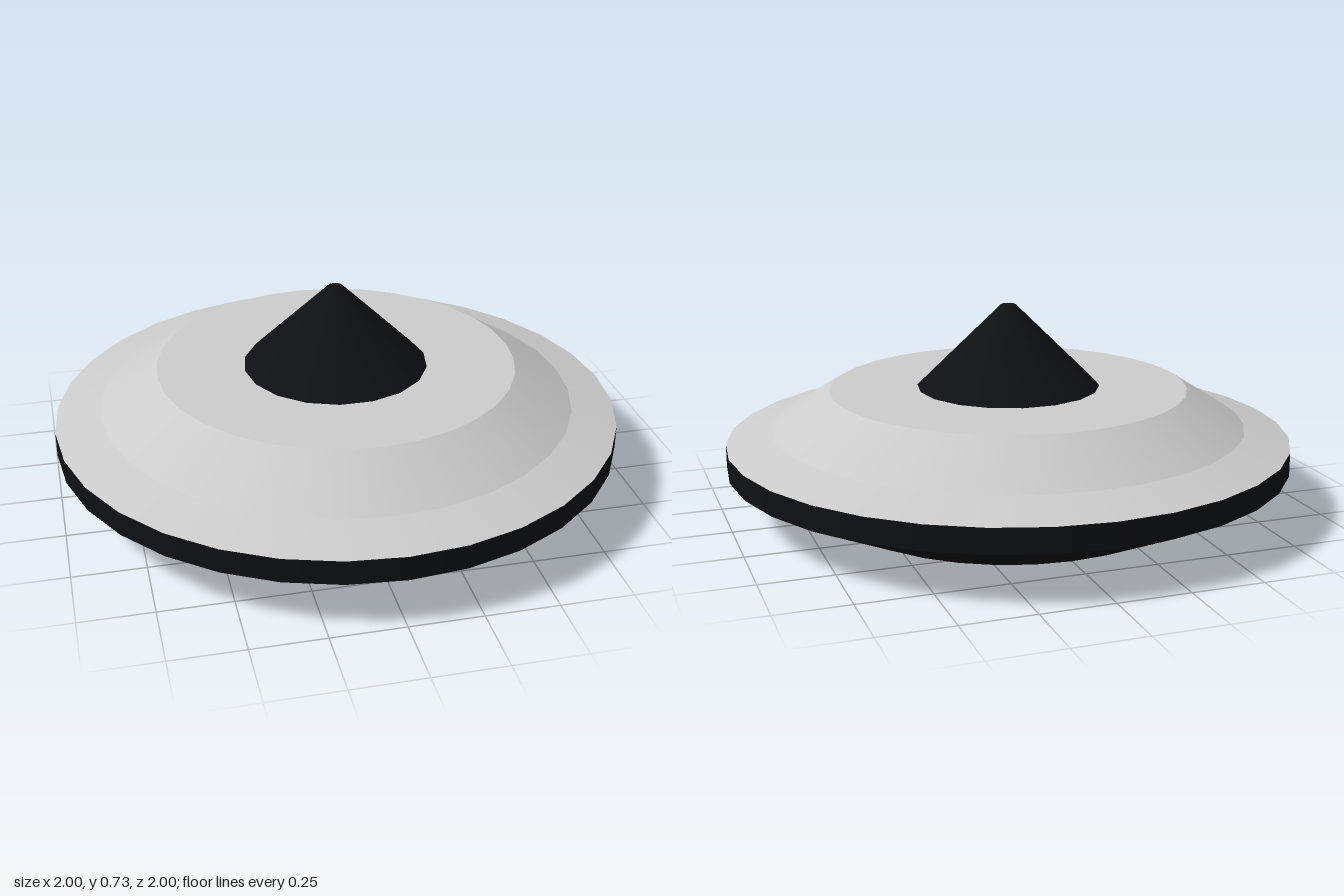
import * as THREE from 'three';

const grey = new THREE.MeshStandardMaterial({ color: 0xcccccc });
const black = new THREE.MeshStandardMaterial({ color: 0x0e1013 });

// Stacked rings: each [radius, y] pair is joined to the next by a crisp-edged band
function bands(name, profile, material, sides, start = 0) {
  const group = new THREE.Group();
  group.name = name;
  for (let i = 0; i < profile.length - 1; i++) {
    const [r0, y0] = profile[i];
    const [r1, y1] = profile[i + 1];
    const band = new THREE.Mesh(
      new THREE.CylinderGeometry(r1, r0, y1 - y0, sides, 1, true, start), material);
    band.position.y = (y0 + y1) / 2;
    band.name = name + 'Band' + (i + 1);
    group.add(band);
  }
  return group;
}

// Flat disc facing up (1) or down (-1)
function disc(name, radius, y, facing, material, sides, start = 0) {
  const mesh = new THREE.Mesh(new THREE.CircleGeometry(radius, sides, start), material);
  mesh.rotation.x = -facing * Math.PI / 2;
  mesh.position.y = y;
  mesh.name = name;
  return mesh;
}

export function createModel() {
  const model = new THREE.Group();
  model.name = 'saucer';

  // Dark underside with an upright rim
  const base = bands('base', [[0.635, 0], [1, 0.175], [1, 0.26]], black, 32);
  base.add(disc('baseFloor', 0.635, 0, -1, black, 32));

  // Sloped upper shell with a flat deck
  const shell = bands('shell', [[1, 0.26], [0.84, 0.305], [0.635, 0.435]], grey, 32);
  shell.add(disc('deck', 0.635, 0.435, 1, grey, 32));

  // Blunt cone on the deck, slightly off centre
  const cone = bands('cone', [[0.325, 0.435], [0.027, 0.727]], black, 18, Math.PI / 2);
  cone.add(disc('coneTip', 0.027, 0.727, 1, black, 18));
  cone.position.set(-0.004, 0, 0.01);

  model.add(base, shell, cone);
  return model;
}
